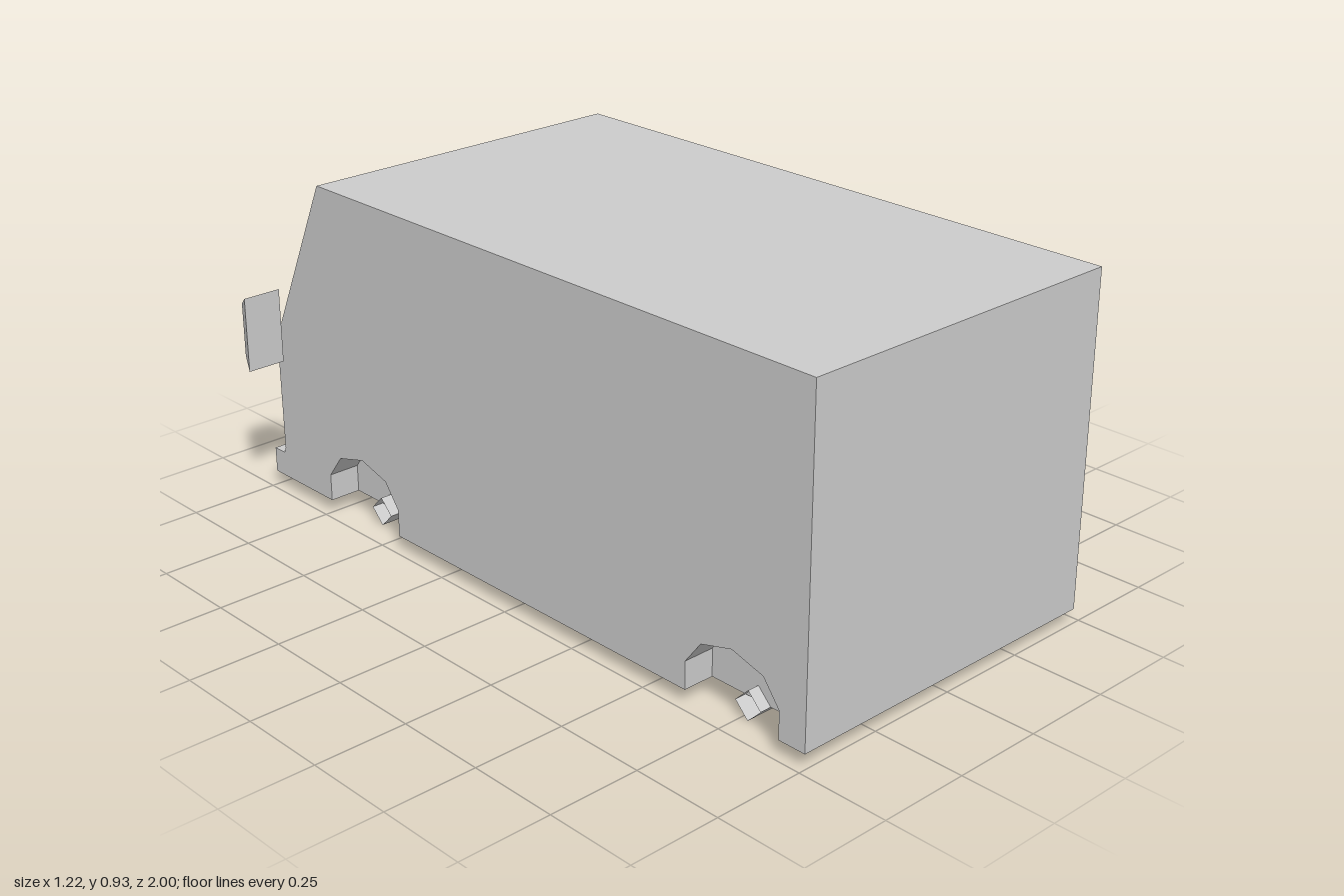
import * as THREE from 'three';

const material = new THREE.MeshStandardMaterial({ color: 0xcccccc, flatShading: true });
const openMaterial = new THREE.MeshStandardMaterial({ color: 0xcccccc, flatShading: true, side: THREE.DoubleSide });

const FLOOR = 0.04;
const AXLES = [-0.594, 0.772]; // z of the front and rear axle

// Side outline of the van as (z, y) points, nose towards -z
function sideProfile(withArches) {
  const points = [];
  for (const z of withArches ? AXLES : []) {
    // Low-poly wheel arch cut up from the floor
    points.push(
      [z - 0.148, FLOOR], [z - 0.148, 0.115], [z - 0.098, 0.18], [z, 0.207],
      [z + 0.098, 0.18], [z + 0.148, 0.115], [z + 0.148, FLOOR]);
  }
  points.push(
    [1, FLOOR], [1, 0.93], [-0.727, 0.93], [-0.953, 0.45],
    [-0.95, 0.125], [-0.957, 0.11], [-1, 0.11], [-1, FLOOR]);
  return new THREE.Shape(points.map(([z, y]) => new THREE.Vector2(z, y)));
}

// Extrude a side outline across the width from x0 to x1
function slab(name, shape, x0, x1) {
  const geometry = new THREE.ExtrudeGeometry(shape, { depth: x1 - x0, bevelEnabled: false });
  geometry.rotateY(-Math.PI / 2).translate(x1, 0, 0);
  const mesh = new THREE.Mesh(geometry, material);
  mesh.name = name;
  return mesh;
}

// Mirror housing: a box whose forward (-z) face is drawn in
function wingMirror(name, x) {
  const geometry = new THREE.BoxGeometry(0.108, 0.206, 0.042);
  const p = geometry.attributes.position;
  for (let i = 0; i < p.count; i++) {
    if (p.getZ(i) < 0) p.setXY(i, p.getX(i) * 0.66, p.getY(i) * 0.72);
  }
  geometry.computeVertexNormals();
  const mesh = new THREE.Mesh(geometry, material);
  mesh.name = name;
  mesh.position.set(x, 0.505, -0.923);
  return mesh;
}

export function createModel() {
  const van = new THREE.Group();
  van.name = 'van';

  // Body: solid core between two side panels with wheel arches
  const body = new THREE.Group();
  body.name = 'body';
  body.add(
    slab('bodyCore', sideProfile(false), -0.395, 0.39),
    slab('rightSidePanel', sideProfile(true), -0.483, -0.395),
    slab('leftSidePanel', sideProfile(true), 0.39, 0.477));
  van.add(body);

  // Axles: four-sided open tubes set on edge
  AXLES.forEach((z, i) => {
    const geometry = new THREE.CylinderGeometry(0.04, 0.04, 0.852, 4, 1, true);
    geometry.rotateZ(Math.PI / 2);
    const axle = new THREE.Mesh(geometry, openMaterial);
    axle.name = i === 0 ? 'frontAxle' : 'rearAxle';
    axle.position.set(-0.002, 0.04, z);
    van.add(axle);
  });

  // Wing mirrors, standing just clear of the sides
  van.add(wingMirror('rightMirror', -0.556), wingMirror('leftMirror', 0.554));
  return van;
}
